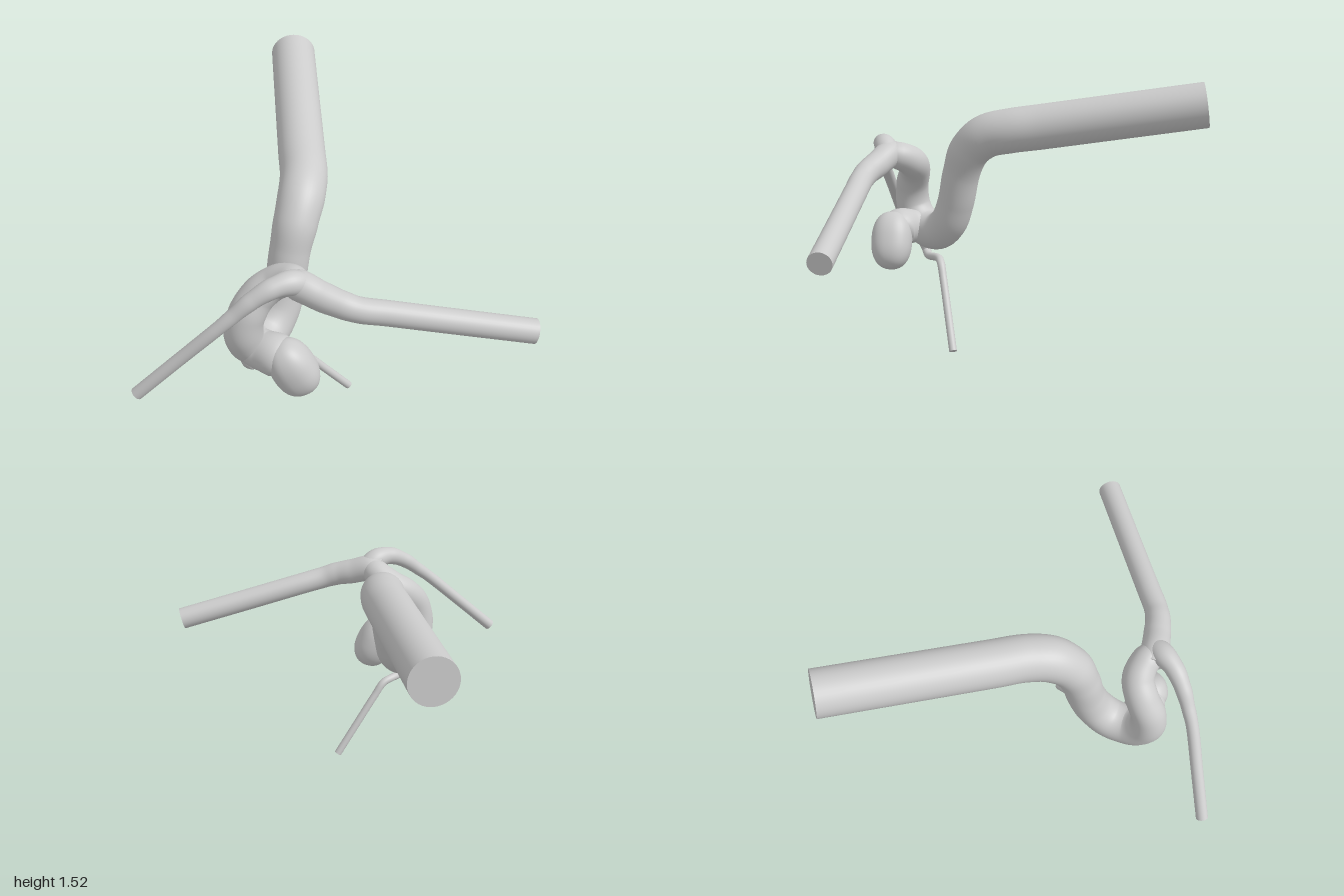
import * as THREE from 'three';

const material = new THREE.MeshStandardMaterial({ color: 0xcccccc, side: THREE.DoubleSide });

// Smooth tube of varying radius; each point is [x, y, z, radius]
function vessel(name, points, rings = 90, sides = 32) {
  const curve = new THREE.CatmullRomCurve3(points.map(p => new THREE.Vector3(p[0], p[1], p[2])));
  curve.arcLengthDivisions = 600;
  const frames = curve.computeFrenetFrames(rings);
  const pos = [], idx = [];
  const ringAt = i => {
    const t = curve.getUtoTmapping(i / rings);
    const f = t * (points.length - 1);
    const k = Math.min(Math.floor(f), points.length - 2);
    const r = THREE.MathUtils.lerp(points[k][3], points[k + 1][3], THREE.MathUtils.smoothstep(f - k, 0, 1));
    const c = curve.getPoint(t);
    for (let j = 0; j < sides; j++) {
      const a = j / sides * Math.PI * 2;
      const p = c.clone()
        .addScaledVector(frames.normals[i], Math.cos(a) * r)
        .addScaledVector(frames.binormals[i], Math.sin(a) * r);
      pos.push(p.x, p.y, p.z);
    }
    return c;
  };
  for (let i = 0; i <= rings; i++) ringAt(i);
  for (let i = 0; i < rings; i++) {
    for (let j = 0; j < sides; j++) {
      const a = i * sides + j, b = i * sides + (j + 1) % sides;
      idx.push(a, b, a + sides, b, b + sides, a + sides);
    }
  }
  // Flat end caps with their own vertices, so the rims stay sharp
  for (const i of [0, rings]) {
    const base = pos.length / 3;
    const c = ringAt(i);
    pos.push(c.x, c.y, c.z);
    for (let j = 0; j < sides; j++) {
      const a = base + j, b = base + (j + 1) % sides;
      if (i === 0) idx.push(base + sides, b, a);
      else idx.push(base + sides, a, b);
    }
  }
  const geo = new THREE.BufferGeometry();
  geo.setAttribute('position', new THREE.Float32BufferAttribute(pos, 3));
  geo.setIndex(idx);
  geo.computeVertexNormals();
  const mesh = new THREE.Mesh(geo, material);
  mesh.name = name;
  return mesh;
}

// Swollen sac: a sphere pushed slightly towards a rounded block
function sac() {
  const geo = new THREE.SphereGeometry(1, 40, 28);
  const p = geo.attributes.position;
  const swell = v => Math.sign(v) * Math.pow(Math.abs(v), 0.86);
  for (let i = 0; i < p.count; i++) {
    const y = p.getY(i);
    const taper = 1 - 0.06 * y;
    p.setXYZ(i, swell(p.getX(i)) * 0.115 * taper, swell(y) * 0.17, swell(p.getZ(i)) * 0.117);
  }
  geo.computeVertexNormals();
  const mesh = new THREE.Mesh(geo, material);
  mesh.name = 'sac';
  mesh.position.set(-0.2, 0.565, 0.823);
  mesh.rotation.z = 0.45;
  return mesh;
}

export function createModel() {
  const model = new THREE.Group();
  model.name = 'vesselTree';

  // Wide straight inlet, then the S-bend down, round and up to the fork
  model.add(vessel('mainVessel', [
    [-0.10, 1.405, -0.95, 0.125], [-0.10, 1.33, -0.45, 0.125], [-0.10, 1.27, -0.05, 0.125],
    [-0.10, 1.245, 0.12, 0.124], [-0.12, 1.21, 0.25, 0.122], [-0.155, 1.12, 0.35, 0.115],
    [-0.19, 0.98, 0.405, 0.106], [-0.22, 0.80, 0.445, 0.105], [-0.255, 0.67, 0.495, 0.108],
    [-0.32, 0.595, 0.575, 0.112], [-0.395, 0.61, 0.675, 0.11], [-0.44, 0.72, 0.735, 0.1],
    [-0.42, 0.85, 0.735, 0.095], [-0.355, 0.95, 0.705, 0.09], [-0.265, 1.02, 0.70, 0.086],
    [-0.195, 1.07, 0.755, 0.08], [-0.165, 1.085, 0.82, 0.068],
  ], 180, 40));

  // Thick outlet to the left
  model.add(vessel('leftBranch', [
    [-0.23, 1.09, 0.78, 0.06], [-0.16, 1.085, 0.815, 0.077], [-0.06, 1.05, 0.86, 0.073],
    [0.03, 1.025, 0.895, 0.068], [0.11, 1.0, 0.91, 0.064], [0.25, 0.97, 0.91, 0.063],
    [0.6, 0.893, 0.91, 0.063], [0.982, 0.81, 0.91, 0.063],
  ]));

  // Thin outlet to the right
  model.add(vessel('rightBranch', [
    [-0.13, 1.08, 0.81, 0.06], [-0.2, 1.125, 0.84, 0.062], [-0.29, 1.125, 0.875, 0.052],
    [-0.39, 1.075, 0.90, 0.044], [-0.48, 1.0, 0.915, 0.037], [-0.56, 0.93, 0.925, 0.034],
    [-0.75, 0.75, 0.925, 0.033], [-0.976, 0.534, 0.925, 0.033],
  ]));

  // Fine side vessel leaving below the bend
  model.add(vessel('smallBranch', [
    [-0.42, 0.56, 0.68, 0.045], [-0.43, 0.485, 0.67, 0.035], [-0.415, 0.438, 0.658, 0.026],
    [-0.35, 0.43, 0.635, 0.023], [-0.25, 0.448, 0.56, 0.023], [-0.19, 0.435, 0.535, 0.023],
    [-0.13, 0.362, 0.513, 0.022], [0.0, 0.185, 0.467, 0.022], [0.122, 0.018, 0.424, 0.022],
  ], 110, 24));

  // Neck and sac hanging from the bend
  model.add(vessel('sacNeck', [
    [-0.42, 0.63, 0.69, 0.1], [-0.35, 0.615, 0.74, 0.105], [-0.28, 0.62, 0.79, 0.112],
    [-0.22, 0.6, 0.82, 0.09],
  ], 30));
  model.add(sac());

  return model;
}
